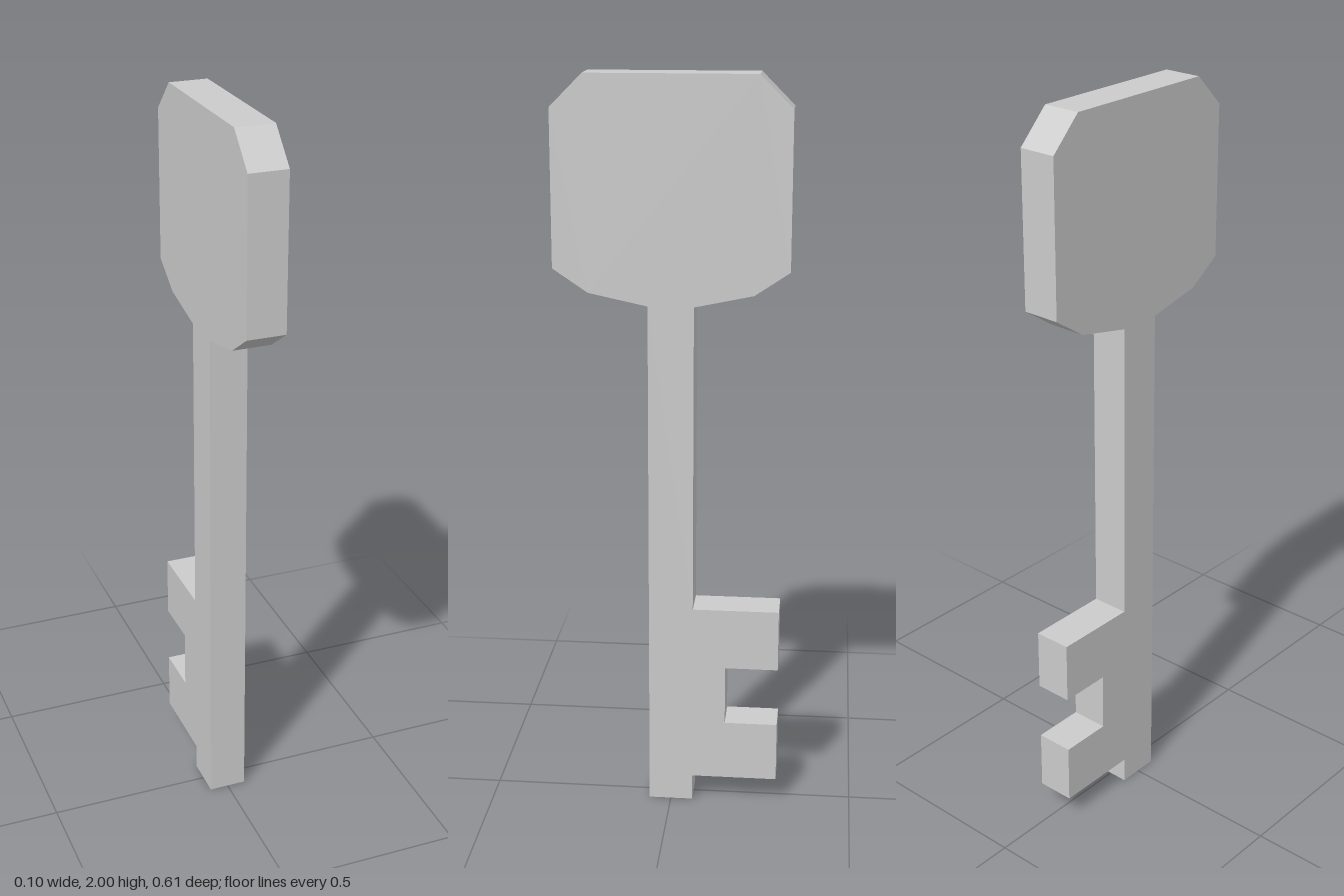
import * as THREE from 'three';

const THICKNESS = 0.104;

// Half outline of the bow, from the shaft up to the flat top
const bowHalf = [[0.06, 1.412], [0.215, 1.445], [0.307, 1.507], [0.307, 1.915], [0.222, 2]];

// Bit with two teeth, from the shaft's foot upwards
const bit = [
  [0.06, 0], [0.06, 0.073], [0.294, 0.073], [0.294, 0.24], [0.15, 0.24],
  [0.15, 0.405], [0.294, 0.405], [0.294, 0.575], [0.06, 0.575],
];

export function createModel() {
  const group = new THREE.Group();
  group.name = 'key';

  // One closed outline: bit side, bow, then down the plain side of the shaft
  const mirroredBow = bowHalf.map(([u, y]) => [-u, y]).reverse();
  const outline = [...bit, ...bowHalf, ...mirroredBow, [-0.06, 0]];
  const shape = new THREE.Shape(outline.map(([u, y]) => new THREE.Vector2(u, y)));

  // Flat plate, turned so the teeth point to the back (-z)
  const geometry = new THREE.ExtrudeGeometry(shape, { depth: THICKNESS, bevelEnabled: false });
  geometry.translate(0, 0, -THICKNESS / 2);
  geometry.rotateY(Math.PI / 2);

  const material = new THREE.MeshStandardMaterial({ color: 0xcccccc, flatShading: true });
  const body = new THREE.Mesh(geometry, material);
  body.name = 'keyBody';
  group.add(body);
  return group;
}
